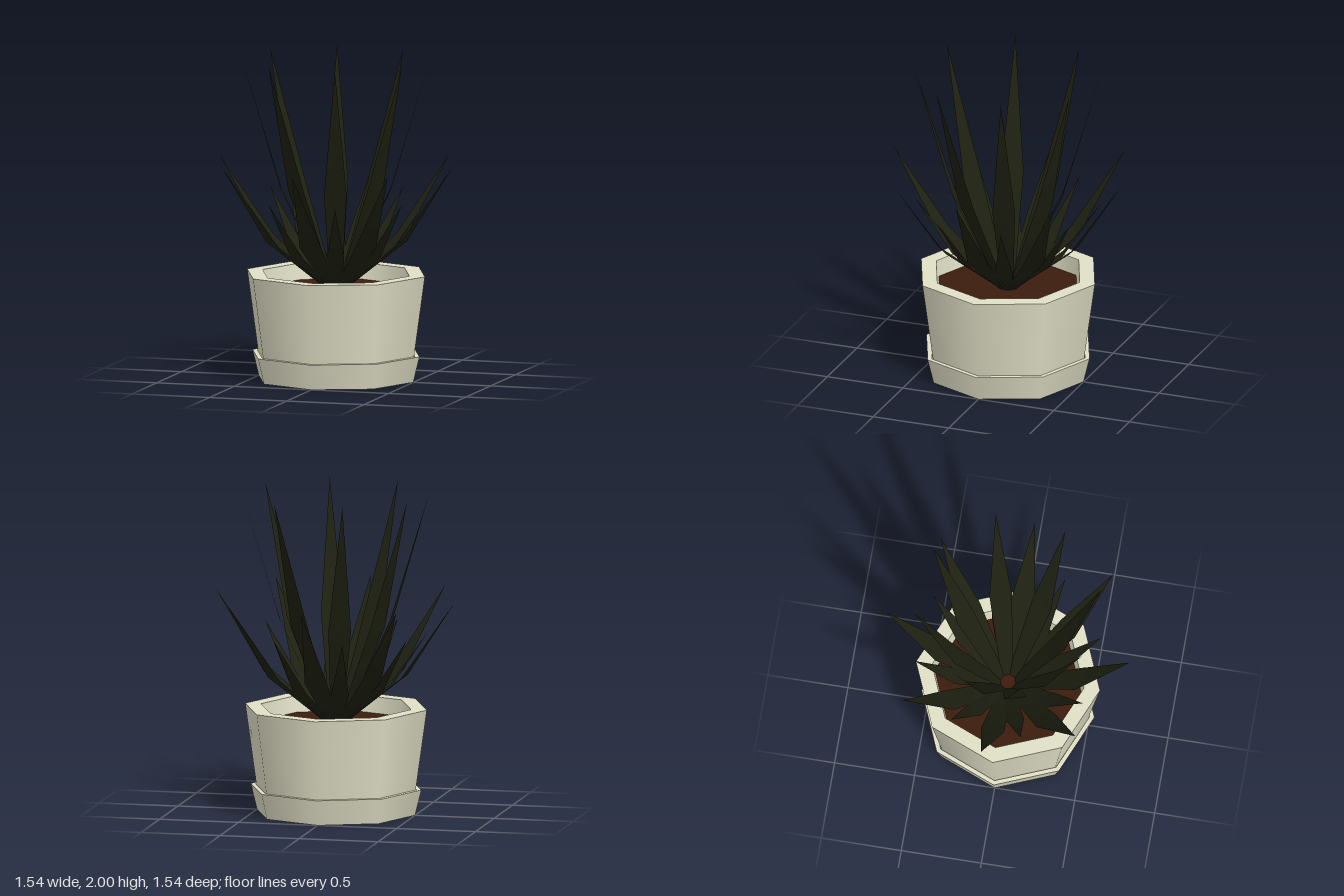
import * as THREE from 'three';
import { mergeGeometries } from 'three/addons/utils/BufferGeometryUtils.js';

const SIDES = 8;
const clay = new THREE.MeshStandardMaterial({ color: 0xe0dfc6 });
const earth = new THREE.MeshStandardMaterial({ color: 0x3c1c0f });
const green = new THREE.MeshStandardMaterial({ color: 0x1e2111, side: THREE.DoubleSide });

// Eight-sided turned shape: smooth around, sharp at every corner of the profile
function turned(name, profile, material) {
  const bands = [];
  for (let i = 0; i < profile.length - 1; i++) {
    const pair = [profile[i], profile[i + 1]].map(([r, y]) => new THREE.Vector2(r, y));
    bands.push(new THREE.LatheGeometry(pair, SIDES));
  }
  const mesh = new THREE.Mesh(mergeGeometries(bands), material);
  mesh.name = name;
  return mesh;
}

// Flat pointed blade with one bend, growing along +x; each station is [radius, height, half width]
function bladeGeometry([root, bend, tip]) {
  const edge = ([r, y, w]) => [r, y, w, r, y, -w];
  const geometry = new THREE.BufferGeometry();
  const points = [...edge(root), ...edge(bend), tip[0], tip[1], 0];
  geometry.setAttribute('position', new THREE.Float32BufferAttribute(points, 3));
  geometry.setIndex([0, 2, 3, 0, 3, 1, 2, 4, 3]);
  geometry.computeVertexNormals();
  return geometry;
}

// Ring of eight equal blades
function bladeRing(name, startDegrees, stations) {
  const ring = new THREE.Group();
  ring.name = name;
  const geometry = bladeGeometry(stations);
  for (let i = 0; i < 8; i++) {
    const blade = new THREE.Mesh(geometry, green);
    blade.name = 'leaf';
    blade.rotation.y = THREE.MathUtils.degToRad(startDegrees + i * 45);
    ring.add(blade);
  }
  return ring;
}

export function createModel() {
  const model = new THREE.Group();
  model.name = 'pottedPlant';

  // Saucer, pot and soil
  model.add(
    turned('saucer', [[0, 0], [0.5, 0], [0.54, 0.16], [0.51, 0.16], [0.5, 0.12]], clay),
    turned('pot', [[0, 0.02], [0.485, 0.02], [0.575, 0.66], [0.475, 0.66], [0.455, 0.54]], clay),
    turned('soil', [[0.46, 0.56], [0, 0.56]], earth),
  );

  // Upright, middle and low leaves
  model.add(
    bladeRing('tallLeaves', 17, [[0.04, 0.55, 0.035], [0.34, 1.19, 0.07], [0.58, 2.0, 0]]),
    bladeRing('middleLeaves', -3, [[0.04, 0.55, 0.035], [0.44, 0.87, 0.073], [0.77, 1.36, 0]]),
    bladeRing('lowLeaves', 17, [[0.04, 0.55, 0.03], [0.34, 0.79, 0.055], [0.58, 1.14, 0]]),
  );
  return model;
}
